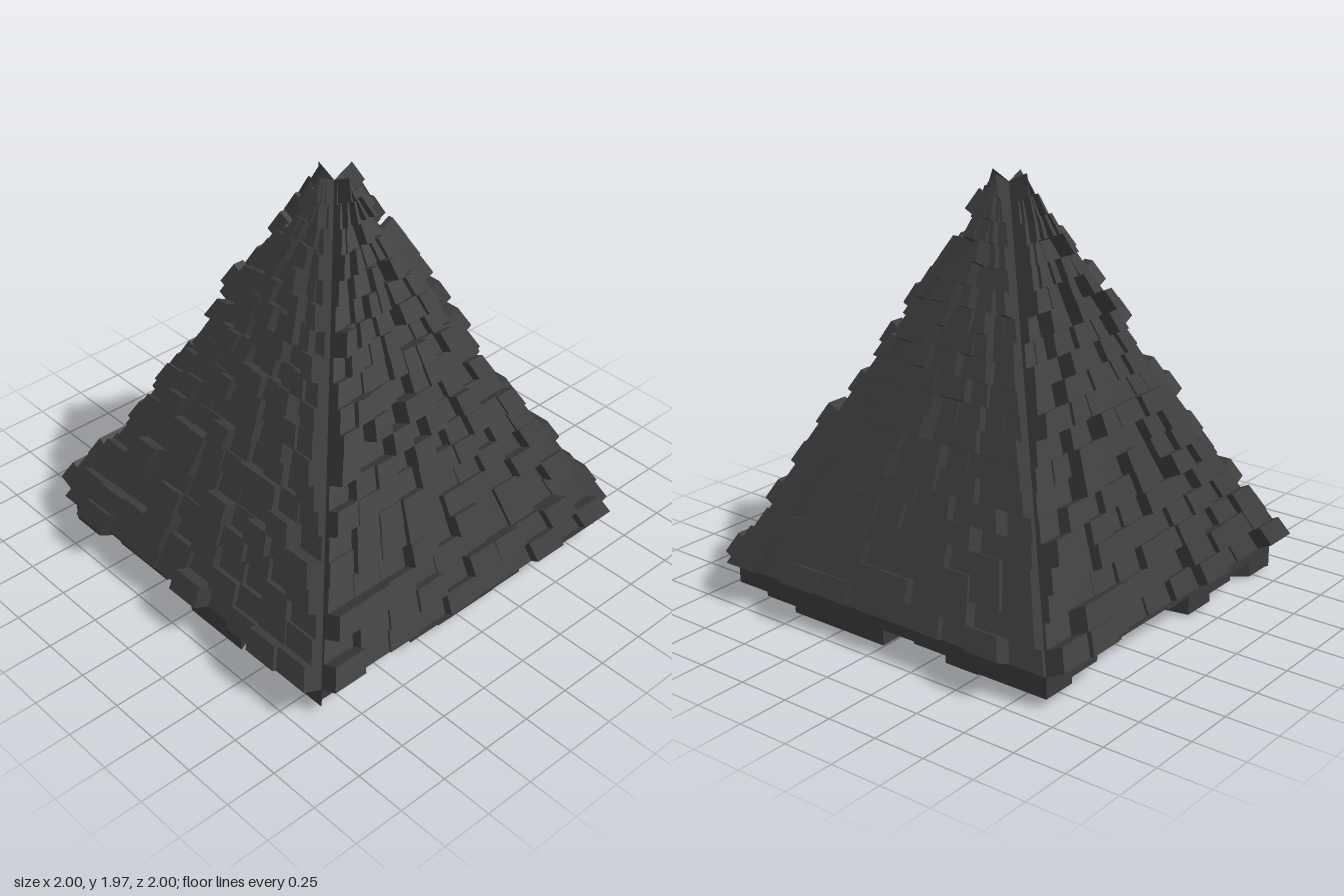
import * as THREE from 'three';

const HALF = 0.89, EAVE = 0.145, RISE = 1.775; // square base and height of the roof
const COLS = 10, ROWS = 20;

// Bottom-row shingle overhang (hundredths) and depth of the wedges below the eave (thousandths), per side
const SIDES = [
  { name: 'front', overhang: [9, 5, 6, 4, 8, 7, 7, 11, 5, 9], drop: [60, 30, 30, 70, 80, 80, 75, 30, 80, 80] },
  { name: 'left', overhang: [8, 2, 9, 6, 5, 5, 6, 3, 10, 2], drop: [85, 105, 135, 135, 135, 60, 70, 105, 100, 100] },
  { name: 'back', overhang: [9, 11, 4, 1, 2, 5, 10, 3, 4, 11], drop: [100, 70, 40, 30, 30, 40, 130, 90, 60, 135] },
  { name: 'right', overhang: [6, 12, 6, 7, 6, 12, 4, 8, 12, 10], drop: [145, 70, 80, 80, 60, 145, 145, 80, 70, 100] },
];

function seeded(seed) {
  let s = seed;
  return () => {
    s = (s * 16807) % 2147483647;
    return s / 2147483647;
  };
}

// Raises a polygon (counter-clockwise from outside) along a direction into an open-backed block
function addBlock(out, base, dir, height) {
  const top = base.map((p) => p.clone().addScaledVector(dir, height));
  const tri = (...pts) => pts.forEach((p) => out.push(p.x, p.y, p.z));
  for (let i = 1; i < top.length - 1; i++) tri(top[0], top[i], top[i + 1]);
  base.forEach((p, i) => {
    const j = (i + 1) % base.length;
    tri(p, base[j], top[j]);
    tri(p, top[j], top[i]);
  });
}

function makeMesh(name, positions, material) {
  const geometry = new THREE.BufferGeometry();
  geometry.setAttribute('position', new THREE.Float32BufferAttribute(positions, 3));
  geometry.computeVertexNormals();
  const mesh = new THREE.Mesh(geometry, material);
  mesh.name = name;
  return mesh;
}

export function createModel() {
  const model = new THREE.Group();
  model.name = 'shingledRoof';
  const material = new THREE.MeshStandardMaterial({ color: 0x3c3c3c, flatShading: true });
  const random = seeded(4721);

  // Point on the sloping face: u runs across (-1 to 1), t runs from eave to apex
  const onSlope = (u, t) => new THREE.Vector3(u * HALF * (1 - t), EAVE + RISE * t, HALF * (1 - t));
  const normal = new THREE.Vector3(0, HALF, RISE).normalize();
  const down = new THREE.Vector3(0, -1, 0);

  SIDES.forEach(({ name, overhang, drop }, side) => {
    const group = new THREE.Group();
    group.name = `${name}Side`;
    group.rotation.y = (side * Math.PI) / 2;
    const shingles = [];
    const wedges = [];

    for (let c = 0; c < COLS; c++) {
      const u0 = -1 + (2 * c) / COLS, u1 = -1 + (2 * (c + 1)) / COLS;

      // Column of tapering shingles, closing to a triangle at the apex
      for (let r = 0; r < ROWS; r++) {
        const t0 = r / ROWS, t1 = (r + 1) / ROWS;
        const corners = [onSlope(u0, t0), onSlope(u1, t0), onSlope(u1, t1)];
        if (r < ROWS - 1) corners.push(onSlope(u0, t1));
        const height = r === 0 ? overhang[c] / 100 / normal.z : 0.01 + 0.11 * random();
        addBlock(shingles, corners, normal, height);
      }

      // Wedge hanging below the eave, running in to the centre
      const centre = new THREE.Vector3(0, EAVE, 0);
      addBlock(wedges, [centre, onSlope(u1, 0), onSlope(u0, 0)], down, drop[c] / 1000);
    }

    group.add(makeMesh(`${name}Shingles`, shingles, material));
    group.add(makeMesh(`${name}UndersideWedges`, wedges, material));
    model.add(group);
  });

  model.position.set(0.01, 0, -0.005);
  return model;
}
